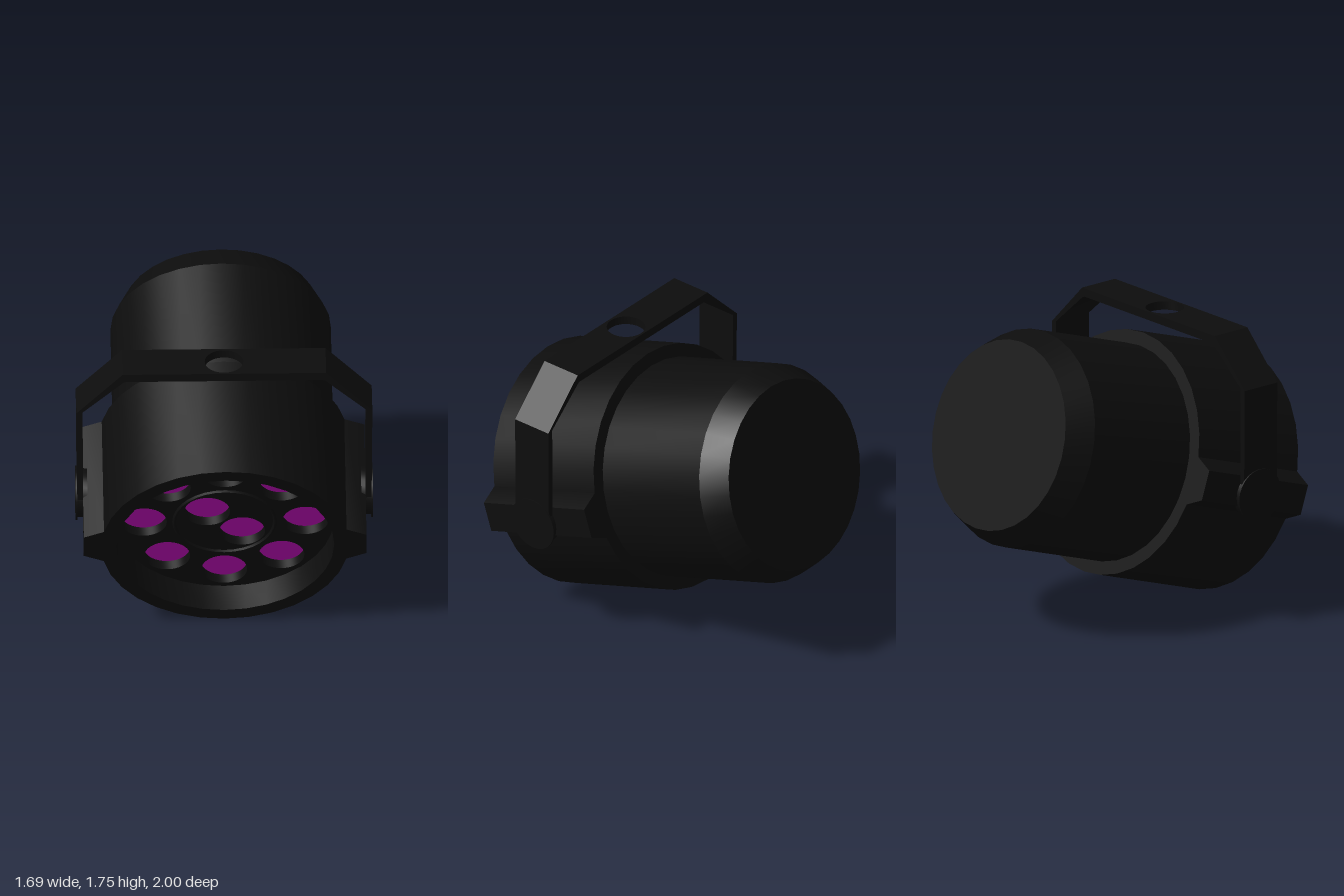
import * as THREE from 'three';
import { toCreasedNormals } from 'three/addons/utils/BufferGeometryUtils.js';

const black = new THREE.MeshStandardMaterial({ color: 0x0d0d0d });
const magenta = new THREE.MeshStandardMaterial({ color: 0xb60bb0 });

function add(parent, name, geometry, material = black) {
  const mesh = new THREE.Mesh(toCreasedNormals(geometry, 0.45), material);
  mesh.name = name;
  parent.add(mesh);
  return mesh;
}

const polygon = (points) => new THREE.Shape(points.map(([x, y]) => new THREE.Vector2(x, y)));

// Lathe turned so that its axis runs along z
const latheZ = (points) =>
  new THREE.LatheGeometry(points.map(([r, z]) => new THREE.Vector2(r, z)), 32).rotateX(Math.PI / 2);

const extrude = (shape, depth) =>
  new THREE.ExtrudeGeometry(shape, { depth, bevelEnabled: false, curveSegments: 24 });

function circleHole(x, y, r) {
  const hole = new THREE.Path();
  hole.absarc(x, y, r, 0, Math.PI * 2, true);
  return hole;
}

function createLamp() {
  const lamp = new THREE.Group();
  lamp.name = 'lampHead';

  // Housing: chamfered rear can, wider front drum, open front rim
  add(lamp, 'housing', latheZ([
    [0, -1.687], [0.55, -1.687], [0.628, -1.53], [0.628, -0.78],
    [0.705, -0.78], [0.705, 0], [0.622, 0], [0.622, -0.2],
  ]));

  // Lens centres: ring of eight and two in the middle
  const centres = [[-0.1, 0.095], [0.1, -0.095]];
  for (let i = 0; i < 8; i++) {
    const a = (i * Math.PI) / 4;
    centres.push([0.46 * Math.cos(a), 0.46 * Math.sin(a)]);
  }

  // Recessed plate with a hole for each lens
  const plate = new THREE.Shape();
  plate.absarc(0, 0, 0.622, 0, Math.PI * 2, false);
  centres.forEach(([x, y]) => plate.holes.push(circleHole(x, y, 0.131)));
  add(lamp, 'lensPlate', extrude(plate, 0.06)).position.z = -0.23;

  centres.forEach(([x, y]) => {
    add(lamp, 'lens', new THREE.CircleGeometry(0.132, 24), magenta).position.set(x, y, -0.228);
  });

  // Low ring around the middle lenses
  add(lamp, 'plateRing', latheZ([[0.3, -0.171], [0.29, -0.16], [0.285, -0.16], [0.275, -0.171]]));

  // Side ribs running along the drum
  for (const s of [-1, 1]) {
    const rib = polygon([
      [0.65 * s, -0.14], [0.69 * s, -0.14], [0.805 * s, -0.0875],
      [0.805 * s, 0.0875], [0.69 * s, 0.14], [0.65 * s, 0.14],
    ]);
    add(lamp, 'sideRib', extrude(rib, 0.78)).position.z = -0.78;
  }

  // Aim the lamp slightly downward
  lamp.position.set(0, 0.67, 0.78);
  lamp.rotation.x = 0.32;
  return lamp;
}

function createBracket() {
  const bracket = new THREE.Group();
  bracket.name = 'bracket';
  const z0 = 0.3, width = 0.245;

  // Top bar with mounting hole
  const bar = polygon([[-0.58, -width / 2], [0.58, -width / 2], [0.58, width / 2], [-0.58, width / 2]]);
  bar.holes.push(circleHole(0, 0, 0.11));
  add(bracket, 'topBar', extrude(bar, 0.05).rotateX(Math.PI / 2))
    .position.set(0, 1.7, z0 + width / 2);

  for (const s of [-1, 1]) {
    // Bent arm
    const arm = polygon([
      [0.58, 1.7], [0.843, 1.435], [0.838, 0.785], [0.804, 0.785],
      [0.808, 1.44], [0.575, 1.645], [0.56, 1.65], [0.56, 1.7],
    ].map(([x, y]) => [x * s, y]));
    add(bracket, 'arm', extrude(arm, width)).position.z = z0;

    // Pivot and its thin cap
    add(bracket, 'pivot', new THREE.CylinderGeometry(0.14, 0.14, 0.06, 24).rotateZ(Math.PI / 2))
      .position.set(0.81 * s, 0.787, 0.412);
    add(bracket, 'pivotCap', new THREE.CylinderGeometry(0.156, 0.156, 0.01, 24).rotateZ(Math.PI / 2))
      .position.set(0.842 * s, 0.787, 0.412);
  }
  return bracket;
}

export function createModel() {
  const model = new THREE.Group();
  model.name = 'stageLight';
  model.add(createLamp(), createBracket());
  return model;
}
